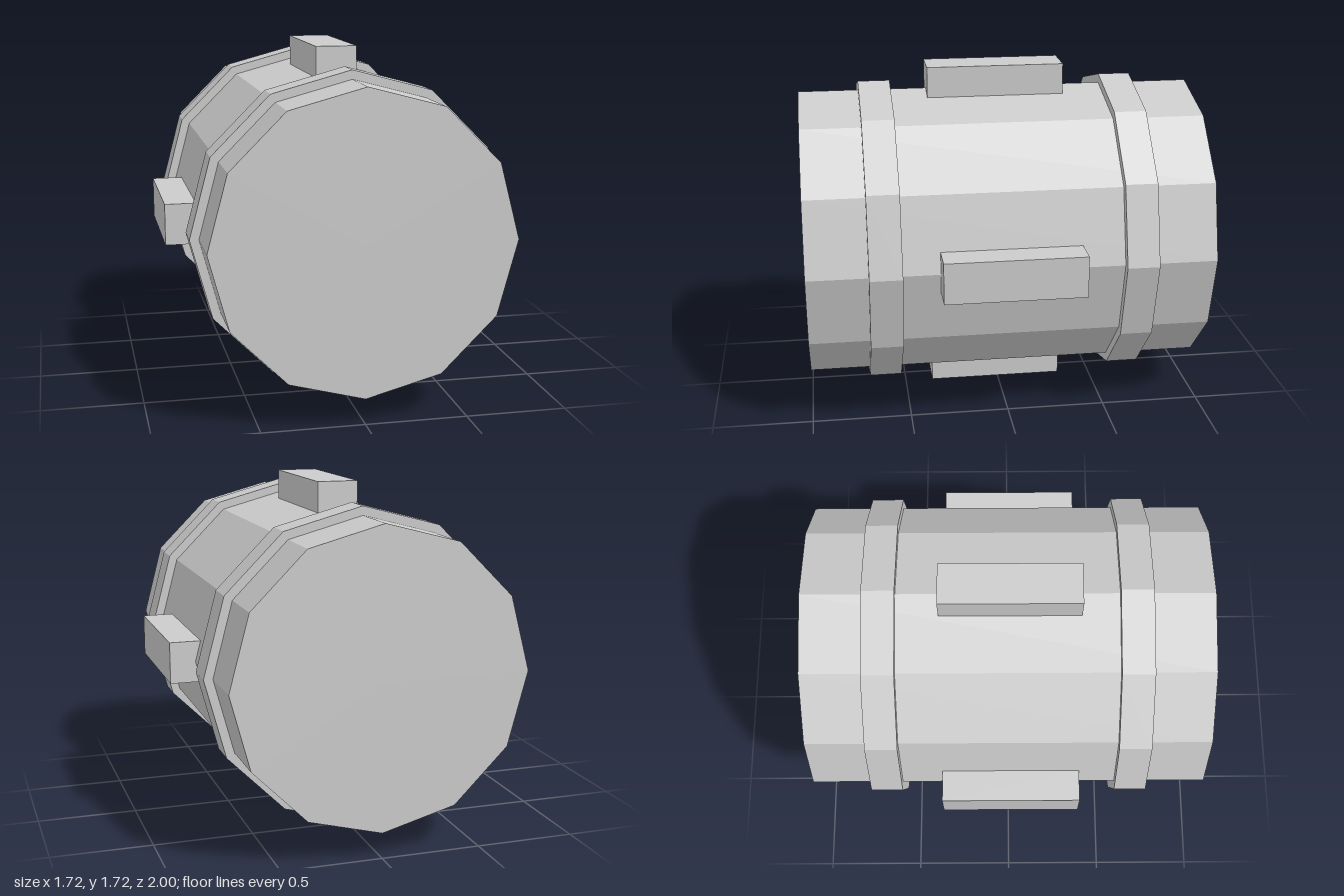
import * as THREE from 'three';

const SIDES = 12;
const CENTER_Y = 0.865;

export function createModel() {
  const model = new THREE.Group();
  const material = new THREE.MeshStandardMaterial({ color: 0xcccccc, flatShading: true });

  // Faceted drum lying along z, with a corner pointing straight up
  function drum(name, radius, length, z) {
    const geometry = new THREE.CylinderGeometry(radius, radius, length, SIDES);
    geometry.rotateX(Math.PI / 2);
    const mesh = new THREE.Mesh(geometry, material);
    mesh.name = name;
    mesh.position.set(0, CENTER_Y, z);
    model.add(mesh);
  }

  // Barrel body and its two raised bands
  drum('body', 0.735, 2, 0);
  drum('frontBand', 0.78, 0.16, 0.62);
  drum('backBand', 0.78, 0.16, -0.62);

  // Four lugs spaced a quarter turn apart
  const lugGeometry = new THREE.BoxGeometry(0.206, 0.155, 0.69);
  lugGeometry.translate(0, 0.784, 0.012);
  ['topLug', 'rightLug', 'bottomLug', 'leftLug'].forEach((name, i) => {
    const lug = new THREE.Mesh(lugGeometry, material);
    lug.name = name;
    lug.position.y = CENTER_Y;
    lug.rotation.z = i * Math.PI / 2;
    model.add(lug);
  });

  return model;
}
